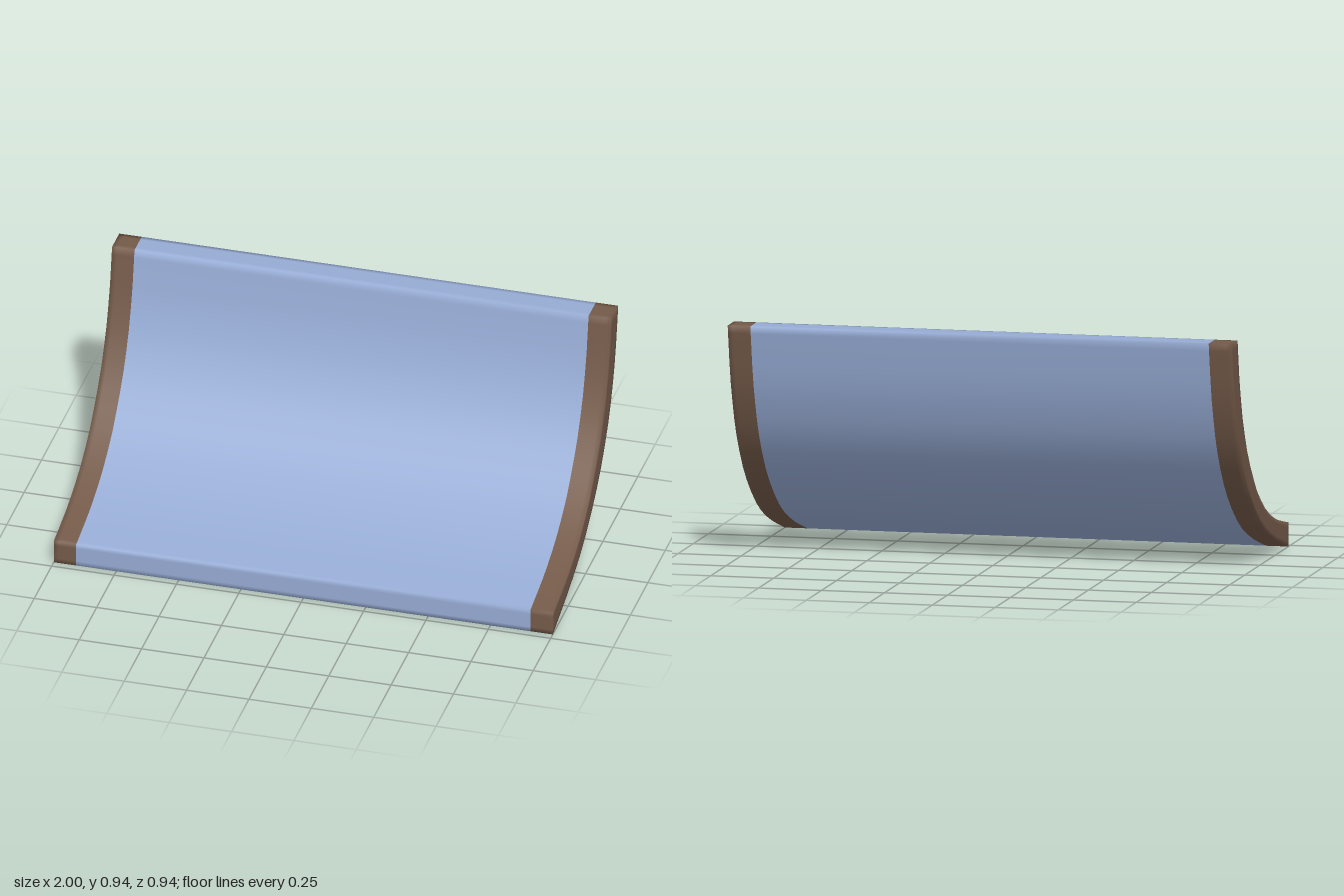
import * as THREE from 'three';
import { mergeVertices } from 'three/addons/utils/BufferGeometryUtils.js';

// Curved profile as [z, y], from the front lip up to the top edge
const INNER = [
  [0.47, 0.095], [0.385, 0.112], [0.3, 0.13], [0.23, 0.15], [0.16, 0.176], [0.09, 0.208],
  [0.02, 0.25], [-0.05, 0.3], [-0.105, 0.355], [-0.16, 0.415], [-0.21, 0.48], [-0.25, 0.55],
  [-0.285, 0.62], [-0.313, 0.7], [-0.338, 0.785], [-0.367, 0.935],
];
const OUTER = [
  [0.47, 0], [0.37, 0.028], [0.275, 0.055], [0.18, 0.087], [0.085, 0.125], [0, 0.17],
  [-0.085, 0.227], [-0.16, 0.287], [-0.22, 0.345], [-0.277, 0.415], [-0.325, 0.485], [-0.362, 0.555],
  [-0.393, 0.63], [-0.418, 0.7], [-0.44, 0.785], [-0.47, 0.935],
];
const RAIL_EDGE = 0.91;

// Grid lines across, through and along the slab; close lines keep the edges softly tight
const LAST = INNER.length - 1;
const ACROSS = [-1, -0.98, -RAIL_EDGE, RAIL_EDGE, 0.98, 1];
const THROUGH = [0, 0.2, 0.8, 1];
const ALONG = [0, 0.2, ...Array.from({ length: LAST - 1 }, (_, i) => i + 1), LAST - 0.2, LAST];

const mix = THREE.MathUtils.lerp;

// Point on a profile at a fractional position
function profileAt(profile, u) {
  const i = Math.min(Math.floor(u), LAST - 1);
  return [0, 1].map((k) => mix(profile[i][k], profile[i + 1][k], u - i));
}

// Bend a segmented box along the profile, with smooth shared normals
function makeSlab() {
  const [nx, ny, nz] = [ACROSS, THROUGH, ALONG].map((lines) => lines.length - 1);
  let geometry = new THREE.BoxGeometry(nx, ny, nz, nx, ny, nz);
  geometry.deleteAttribute('normal');
  geometry.deleteAttribute('uv');
  geometry.clearGroups();
  const p = geometry.attributes.position;
  for (let i = 0; i < p.count; i++) {
    const t = THROUGH[Math.round(p.getY(i) + ny / 2)];
    const u = ALONG[Math.round(nz / 2 - p.getZ(i))];
    const [z0, y0] = profileAt(OUTER, u);
    const [z1, y1] = profileAt(INNER, u);
    p.setXYZ(i, ACROSS[Math.round(p.getX(i) + nx / 2)], mix(y0, y1, t), mix(z0, z1, t));
  }
  geometry = mergeVertices(geometry);
  geometry.computeVertexNormals();
  return geometry;
}

// Keep the faces whose centre lies between two x positions
function slice(slab, minX, maxX) {
  const x = (i) => slab.attributes.position.getX(i);
  const source = slab.index.array;
  const kept = [];
  for (let i = 0; i < source.length; i += 3) {
    const [a, b, c] = source.slice(i, i + 3);
    const centre = (x(a) + x(b) + x(c)) / 3;
    if (centre > minX && centre < maxX) kept.push(a, b, c);
  }
  const part = slab.clone();
  part.setIndex(kept);
  return part.toNonIndexed();
}

export function createModel() {
  const group = new THREE.Group();
  group.name = 'curvedPanel';
  const slab = makeSlab();
  const blue = new THREE.MeshStandardMaterial({ color: 0x96abd4 });
  const brown = new THREE.MeshStandardMaterial({ color: 0x745a49 });

  // Wide panel between two narrow side rails
  const parts = [
    ['panel', -RAIL_EDGE, RAIL_EDGE, blue],
    ['rightRail', -1, -RAIL_EDGE, brown],
    ['leftRail', RAIL_EDGE, 1, brown],
  ];
  for (const [name, minX, maxX, material] of parts) {
    // End faces lie exactly on x = ±1, so widen the range slightly there
    const lo = minX === -1 ? -1.01 : minX;
    const hi = maxX === 1 ? 1.01 : maxX;
    const mesh = new THREE.Mesh(slice(slab, lo, hi), material);
    mesh.name = name;
    group.add(mesh);
  }
  return group;
}
